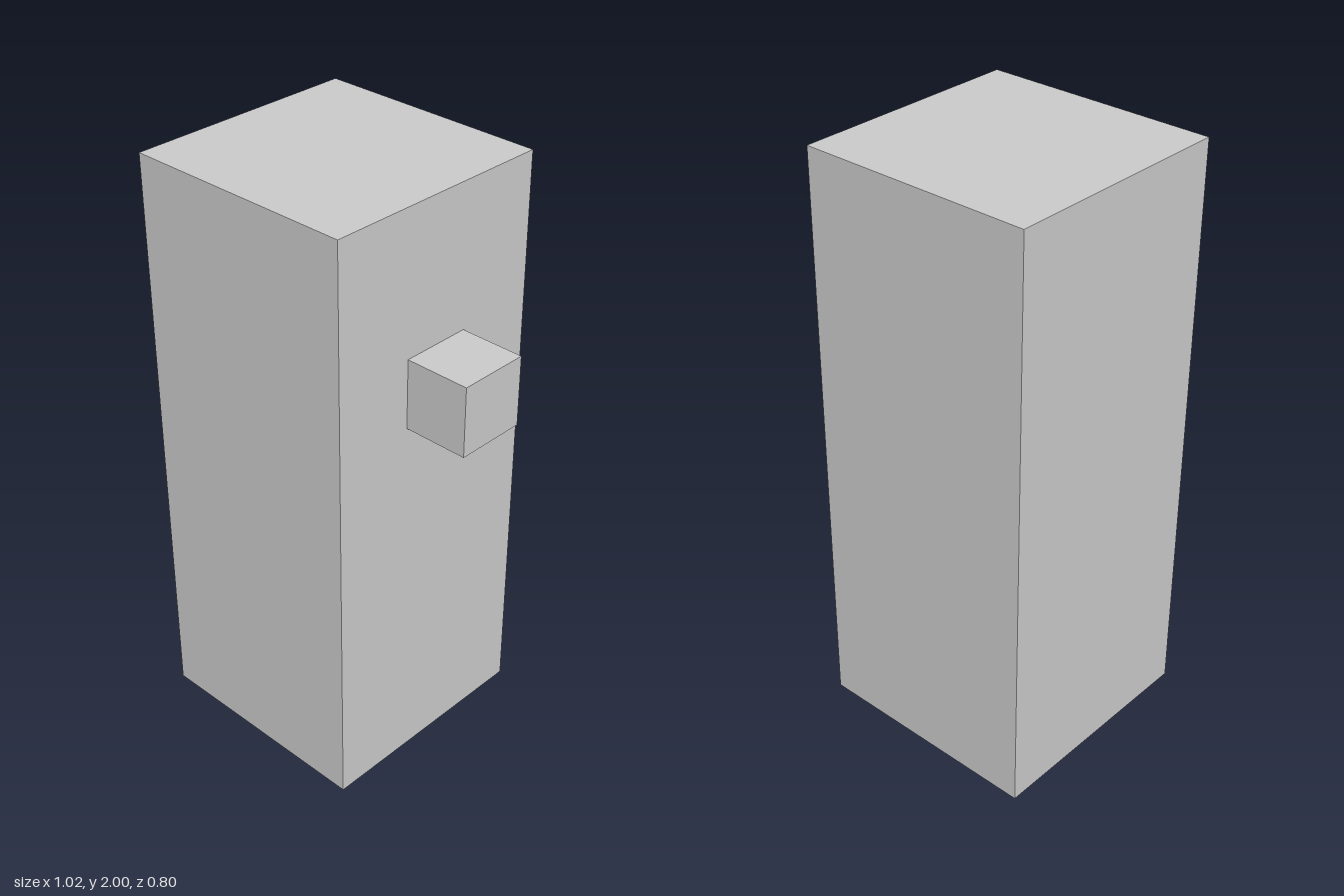
import * as THREE from 'three';

// Box given by its minimum and maximum corners
function block(name, min, max, material) {
  const size = max.map((v, i) => v - min[i]);
  const mesh = new THREE.Mesh(new THREE.BoxGeometry(...size), material);
  mesh.position.set(...max.map((v, i) => (v + min[i]) / 2));
  mesh.name = name;
  return mesh;
}

export function createModel() {
  const group = new THREE.Group();
  const grey = new THREE.MeshStandardMaterial({ color: 0xcccccc, flatShading: true });

  // Tall square pillar
  group.add(block('pillar', [-0.51, 0, -0.4], [0.29, 2, 0.4], grey));

  // Small peg projecting from the pillar's left side
  group.add(block('sidePeg', [0.29, 1.285, -0.12], [0.51, 1.52, 0.12], grey));

  return group;
}
